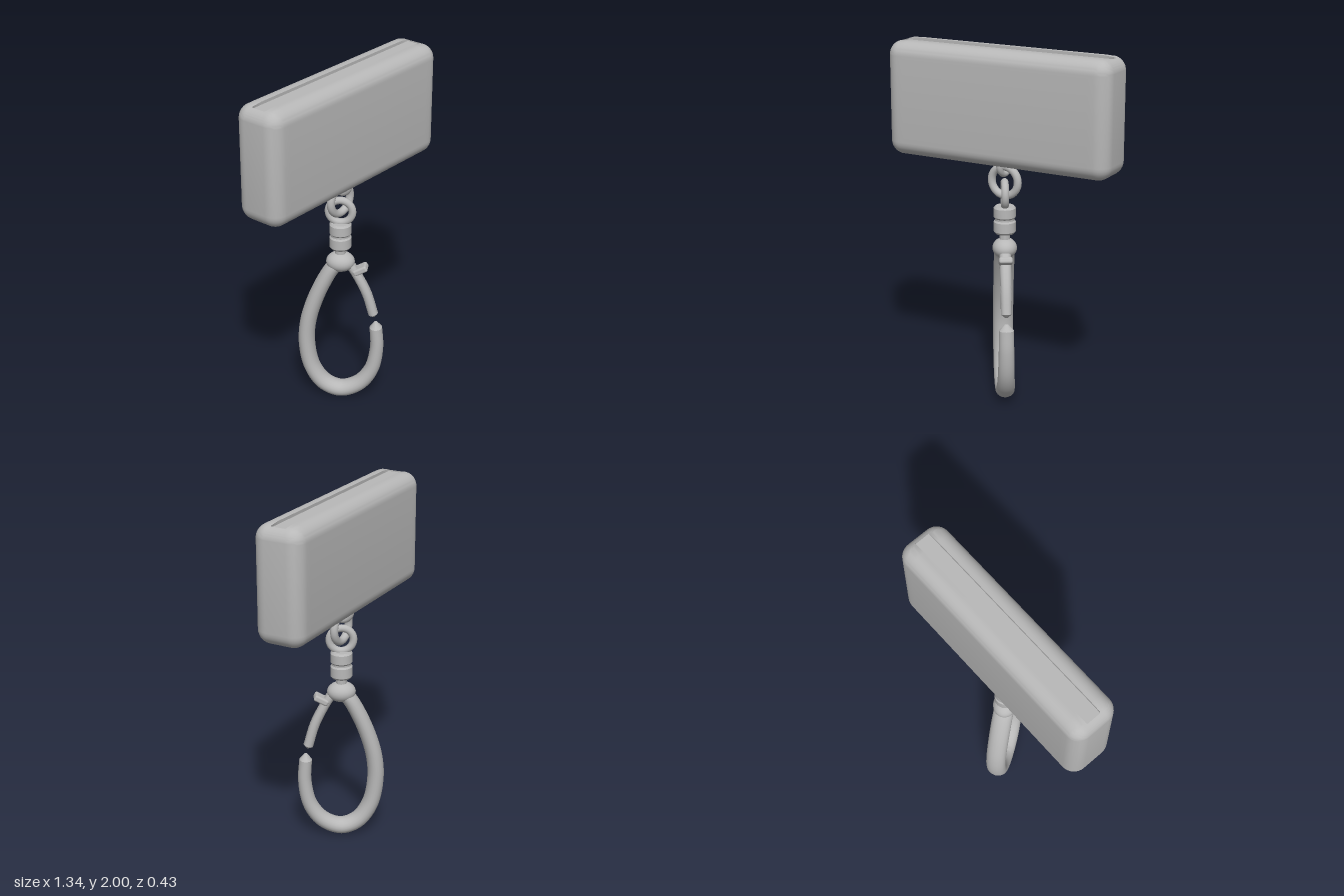
import * as THREE from 'three';
import { toCreasedNormals } from 'three/addons/utils/BufferGeometryUtils.js';
import { RoundedBoxGeometry } from 'three/addons/geometries/RoundedBoxGeometry.js';

const metal = new THREE.MeshStandardMaterial({ color: 0xb8b8b8 });
metal.name = 'grey metal';

function add(parent, name, geometry, x = 0, y = 0, z = 0) {
  const mesh = new THREE.Mesh(geometry, metal);
  mesh.name = name;
  mesh.position.set(x, y, z);
  parent.add(mesh);
  return mesh;
}

// Joins closed rings of Vector3 into a capped skin
function skin(rings, crease) {
  const n = rings[0].length, index = [], points = rings.flat();
  const centre = ring => ring.reduce((s, p) => s.add(p), new THREE.Vector3()).divideScalar(n);
  const first = points.length, last = first + 1, end = (rings.length - 1) * n;
  points.push(centre(rings[0]), centre(rings[rings.length - 1]));
  for (let j = 0; j < n; j++) {
    const k = (j + 1) % n;
    for (let i = 0; i < rings.length - 1; i++) {
      const a = i * n + j, b = i * n + k, c = b + n, d = a + n;
      index.push(a, d, c, a, c, b);
    }
    index.push(first, j, k, last, end + k, end + j);
  }
  const g = new THREE.BufferGeometry().setFromPoints(points);
  g.setIndex(index);
  return toCreasedNormals(g, crease);
}

// Plan outline of a rounded rectangle, with extra points along its long sides
function outline(hx, hz, r) {
  const pts = [], steps = 8, signs = [[1, 1], [-1, 1], [-1, -1], [1, -1]];
  signs.forEach(([sx, sz], q) => {
    for (let i = 0; i <= steps; i++) {
      const a = (q + i / steps) * Math.PI / 2;
      pts.push([sx * (hx - r) + r * Math.cos(a), sz * (hz - r) + r * Math.sin(a)]);
    }
    if (q % 2 === 0) for (const x of [0.56, 0.2, -0.2, -0.56]) pts.push([x * sz, sz * hz]);
  });
  return pts;
}

// Rounded block with a shallow slot let into its top
function blockGeometry() {
  const hx = 0.672, hz = 0.14, r = 0.078, bottom = 1.365, top = 2, floor = 1.984;
  const at = (plan, y) => plan.map(([x, z]) => new THREE.Vector3(x, y, z));
  const outer = outline(hx, hz, r), slot = outline(0.63, 0.044, 0.006);
  const rings = [];
  for (let i = 8; i >= 0; i--) {
    const a = i / 8 * Math.PI / 2, inset = r * (1 - Math.cos(a));
    rings.push(at(outline(hx - inset, hz - inset, Math.max(r - inset, 0.002)), bottom + r - r * Math.sin(a)));
  }
  // Top edge follows the fillet inward until it reaches the slot
  for (let i = 0; i <= 14; i++) {
    const t = 1 - Math.cos(i / 14 * Math.PI / 2);
    rings.push(outer.map(([x, z], j) => {
      const px = x + (slot[j][0] - x) * t, pz = z + (slot[j][1] - z) * t;
      const dx = Math.max(Math.abs(px) - hx + r, 0), dz = Math.max(Math.abs(pz) - hz + r, 0);
      return new THREE.Vector3(px, top - r + Math.sqrt(Math.max(r * r - dx * dx - dz * dz, 0)), pz);
    }));
  }
  rings.push(at(slot, floor));
  return skin(rings, 0.7);
}

// Oval bar swept along a path in the yz plane; each stop is [z, y, half depth, half width]
function barGeometry(stops, steps, tip) {
  const curve = new THREE.CatmullRomCurve3(stops.map(([z, y]) => new THREE.Vector3(0, y, z)));
  const rings = [], sides = 20;
  const ring = (p, t, a, b) => {
    const out = [];
    for (let j = 0; j < sides; j++) {
      const f = j / sides * Math.PI * 2, u = a * Math.cos(f);
      out.push(new THREE.Vector3(b * Math.sin(f), p.y + u * t.z, p.z - u * t.y));
    }
    rings.push(out);
  };
  for (let i = 0; i <= steps; i++) {
    const s = i / steps, k = Math.min(Math.floor(s * (stops.length - 1)), stops.length - 2);
    const f = s * (stops.length - 1) - k;
    const mix = n => THREE.MathUtils.lerp(stops[k][n], stops[k + 1][n], f);
    ring(curve.getPoint(s), curve.getTangent(s), mix(2), mix(3));
  }
  // Tapered end
  const p = curve.getPoint(1), t = curve.getTangent(1), e = stops[stops.length - 1];
  ring(p.clone().addScaledVector(t, tip), t, e[2] * 0.25, e[3] * 0.25);
  return skin(rings, 0.6);
}

export function createModel() {
  const model = new THREE.Group();
  model.name = 'keyring clip';

  add(model, 'block', blockGeometry(), 0, 0, 0.003);

  // Chain links
  add(model, 'eyelet', new THREE.TorusGeometry(0.06, 0.017, 14, 40), 0, 1.367, 0).rotation.y = Math.PI / 2;
  add(model, 'upperLink', new THREE.TorusGeometry(0.081, 0.022, 14, 48), 0, 1.266, 0);

  // Everything below turns together on the swivel
  const clip = new THREE.Group();
  clip.name = 'clip';
  clip.rotation.y = 0.56;
  model.add(clip);
  add(clip, 'lowerLink', new THREE.TorusGeometry(0.066, 0.021, 14, 48), 0, 1.193, 0).rotation.y = Math.PI / 2;

  // Swivel barrel with a groove and a thin neck
  const profile = [[0, 0.9], [0.03, 0.9], [0.03, 0.97], [0.052, 0.97], [0.061, 0.982], [0.061, 1.037],
    [0.054, 1.046], [0.054, 1.056], [0.061, 1.065], [0.061, 1.115], [0.052, 1.126], [0, 1.126]];
  const barrel = new THREE.LatheGeometry(profile.map(([x, y]) => new THREE.Vector2(x, y)), 36);
  add(clip, 'swivel', toCreasedNormals(barrel, 0.6));

  add(clip, 'collar', new THREE.SphereGeometry(1, 32, 20), 0, 0.885, 0).scale.set(0.068, 0.058, 0.08);

  // Main hook, running down the back and up to the open tip
  add(clip, 'hook', barGeometry([
    [0, 0.89, 0.04, 0.056], [-0.045, 0.84, 0.042, 0.057], [-0.09, 0.76, 0.044, 0.058],
    [-0.143, 0.635, 0.045, 0.058], [-0.184, 0.49, 0.046, 0.058], [-0.194, 0.35, 0.047, 0.058],
    [-0.165, 0.19, 0.047, 0.058], [-0.095, 0.085, 0.048, 0.057], [0, 0.048, 0.048, 0.055],
    [0.105, 0.09, 0.046, 0.052], [0.178, 0.19, 0.042, 0.047], [0.208, 0.34, 0.038, 0.043],
    [0.202, 0.472, 0.036, 0.041]], 84, 0.035), 0, 0, 0);

  // Spring gate and its thumb lever
  add(clip, 'gate', barGeometry([
    [0.04, 0.89, 0.026, 0.032], [0.09, 0.81, 0.027, 0.032],
    [0.148, 0.69, 0.028, 0.031], [0.186, 0.56, 0.028, 0.03]], 30, 0.018));
  add(clip, 'thumbLever', new RoundedBoxGeometry(0.075, 0.036, 0.085, 3, 0.012), 0, 0.842, 0.112).rotation.x = -0.5;

  return model;
}
